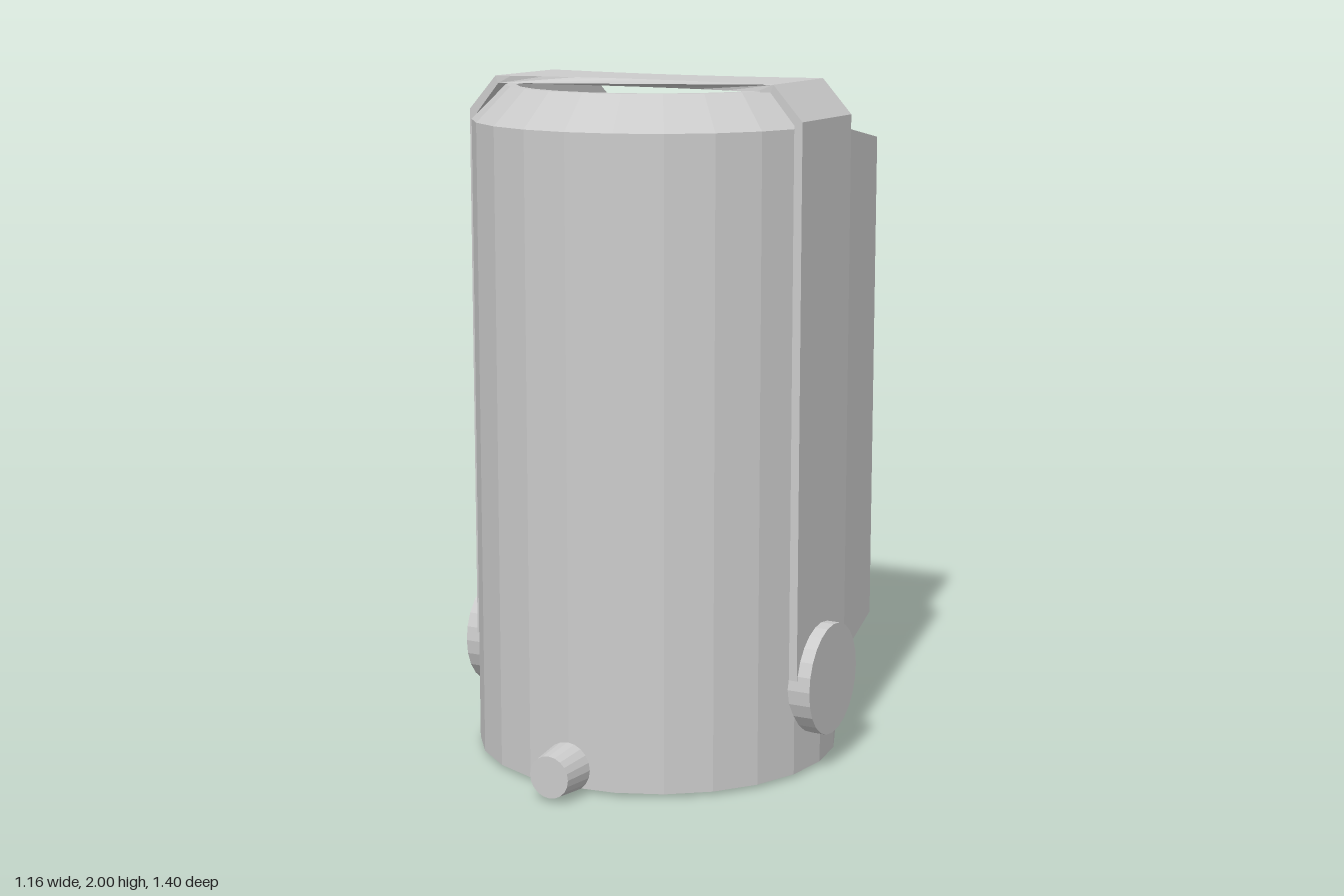
import * as THREE from 'three';

const CZ = 0.05; // the round body sits slightly forward of the centre
const R = 0.54, FLOOR = 1.88;

function makeMaterial(side = THREE.FrontSide) {
  return new THREE.MeshStandardMaterial({ color: 0xcccccc, flatShading: true, side });
}

function addPart(parent, name, geometry, x = 0, y = 0, z = 0) {
  const mesh = new THREE.Mesh(geometry, makeMaterial());
  mesh.name = name;
  mesh.position.set(x, y, z);
  parent.add(mesh);
  return mesh;
}

// Chamfered collar, open at the back, lofted from sections around the body axis
function collarGeometry() {
  const topR = 0.44, innerR = 0.41, cut = 0.36, topY = 1.98;
  const endTop = Math.PI - Math.asin(cut / topR);
  const endBase = Math.PI - Math.asin(cut / R);
  const sections = [];
  for (let deg = -150; deg <= 150; deg += 15) {
    const s = Math.sign(deg), a = Math.abs(deg) * Math.PI / 180;
    const at = (r, ang, y) => [s * r * Math.sin(ang), y, r * Math.cos(ang)];
    const base = at(R, Math.min(a, endBase), FLOOR);
    const top = at(topR, Math.min(a, endTop), topY);
    // Inner wall: round at the front, straight along the sides
    const round = innerR * Math.sin(a) < cut && a < Math.PI / 2;
    const inTop = round ? at(innerR, a, topY) : [s * cut, topY, top[2]];
    const inBase = round ? at(innerR, a, FLOOR) : [s * cut, FLOOR, base[2]];
    sections.push([base, top, inTop, inBase]);
  }
  const pos = [];
  for (let i = 0; i < sections.length - 1; i++) {
    for (let k = 0; k < 3; k++) {
      const a = sections[i][k], b = sections[i + 1][k];
      const c = sections[i + 1][k + 1], d = sections[i][k + 1];
      pos.push(...a, ...b, ...c, ...a, ...c, ...d);
    }
  }
  const g = new THREE.BufferGeometry();
  g.setAttribute('position', new THREE.Float32BufferAttribute(pos, 3));
  g.computeVertexNormals();
  return g;
}

// Strap running up both sides and over the top, narrowing towards the middle
function handleGeometry() {
  const outer = [[-0.54, 0.3], [-0.54, 1.9]];
  const inner = [[-0.515, 0.3], [-0.515, 1.89]];
  for (const x of [-0.45, -0.4, -0.3, -0.2, -0.1, 0, 0.1, 0.2, 0.3, 0.4, 0.45]) {
    outer.push([x, 2]);
    inner.push([x * 0.98, 1.978]);
  }
  outer.push([0.54, 1.9], [0.54, 0.3]);
  inner.push([0.515, 1.89], [0.515, 0.3]);
  const points = [...outer, ...inner.reverse()].map(p => new THREE.Vector2(...p));
  const g = new THREE.ExtrudeGeometry(new THREE.Shape(points), { depth: 1, bevelEnabled: false });
  const p = g.attributes.position;
  for (let i = 0; i < p.count; i++) {
    const t = Math.min(1, Math.abs(p.getX(i)) / 0.42);
    p.setZ(i, (p.getZ(i) - 0.5) * 2 * (0.115 + 0.05 * t * t));
  }
  g.computeVertexNormals();
  return g;
}

// Box whose rear face is narrower and shorter than its front face
function backpackGeometry() {
  const g = new THREE.BoxGeometry(1, 1, 1);
  const p = g.attributes.position;
  for (let i = 0; i < p.count; i++) {
    const front = p.getZ(i) > 0, up = p.getY(i) > 0;
    const x = Math.sign(p.getX(i)) * (front ? 0.395 : 0.37);
    const y = front ? (up ? 1.855 : 0.12) : (up ? 1.785 : 0.26);
    p.setXYZ(i, x, y, front ? -0.3 : -0.7);
  }
  g.computeVertexNormals();
  return g;
}

export function createModel() {
  const model = new THREE.Group();
  model.name = 'canister';

  // Main shell and its top
  const h = FLOOR - 0.01;
  addPart(model, 'body', new THREE.CylinderGeometry(R, R, h, 24), 0, 0.01 + h / 2, CZ);
  addPart(model, 'collar', collarGeometry(), 0, 0, CZ);
  addPart(model, 'handle', handleGeometry(), 0, 0, CZ);
  addPart(model, 'backpack', backpackGeometry());

  // Round caps low on both sides
  for (const s of [1, -1]) {
    const cap = addPart(model, s > 0 ? 'leftCap' : 'rightCap',
      new THREE.CylinderGeometry(0.165, 0.165, 0.12, 24), s * 0.52, 0.27, CZ);
    cap.rotation.z = Math.PI / 2;
  }

  // Tapered knobs on short stems, front and back
  for (const s of [1, -1]) {
    const knob = new THREE.Group();
    knob.name = s > 0 ? 'frontKnob' : 'backKnob';
    const stem = addPart(knob, 'stem', new THREE.CylinderGeometry(0.018, 0.018, 0.08, 12), 0, 0, 0.56);
    const grip = addPart(knob, 'grip', new THREE.CylinderGeometry(0.062, 0.073, 0.105, 20), 0, 0, 0.6);
    stem.rotation.x = grip.rotation.x = Math.PI / 2;
    knob.position.set(0, 0.073, CZ);
    if (s < 0) knob.rotation.y = Math.PI;
    model.add(knob);
  }
  return model;
}
